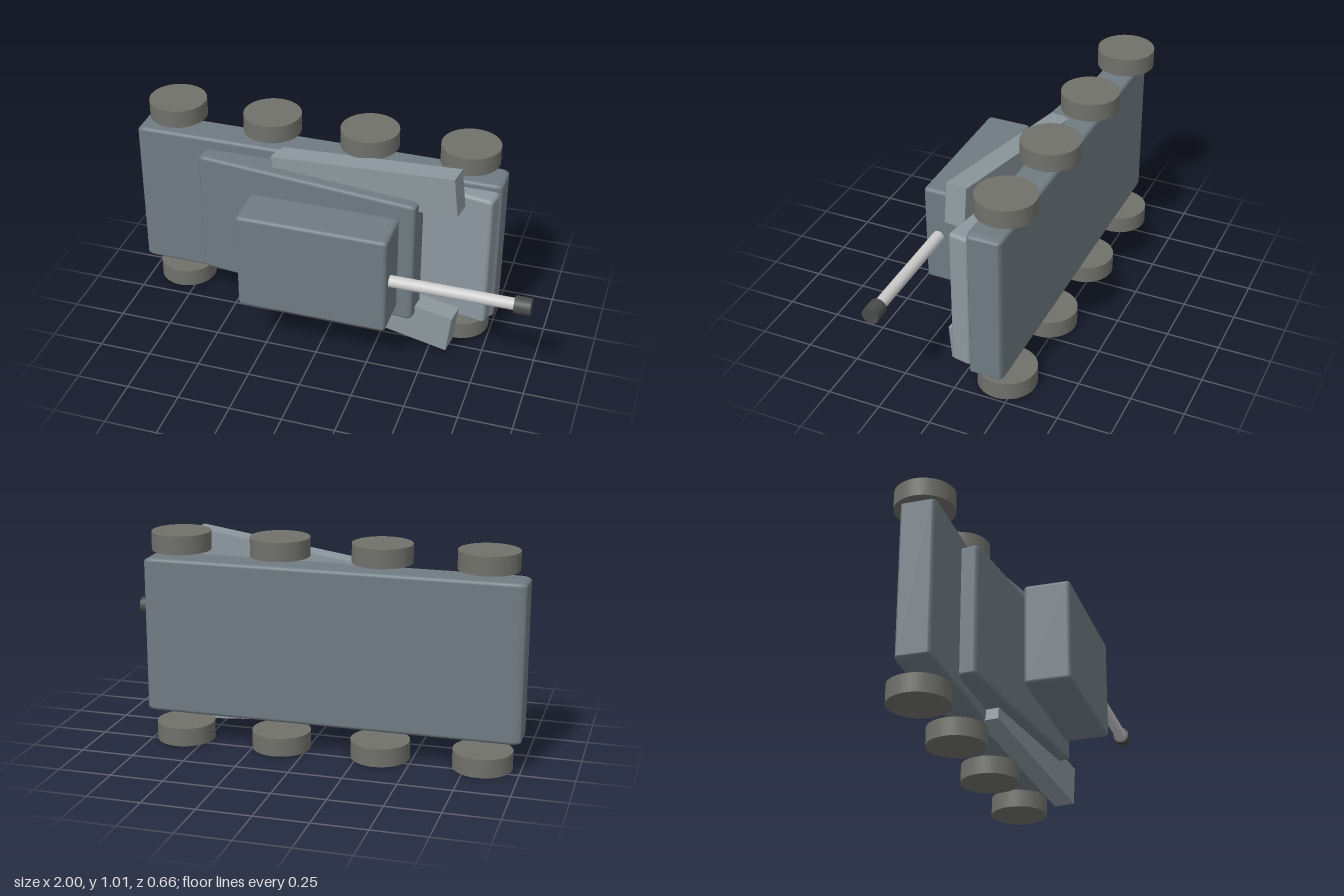
import * as THREE from 'three';
import { RoundedBoxGeometry } from 'three/addons/geometries/RoundedBoxGeometry.js';

const paint = (color) => new THREE.MeshStandardMaterial({ color });
const MID = 0.505; // mid-plane of the vehicle, which lies on its side

export function createModel() {
  const group = new THREE.Group();
  const dark = paint(0x6f7b82);
  const light = paint(0x8c989e);
  const rubber = paint(0x70716b);
  const steel = paint(0xcccccc);
  const black = paint(0x4a4c4c);

  function add(name, geometry, material, x, y, z) {
    const mesh = new THREE.Mesh(geometry, material);
    mesh.name = name;
    mesh.position.set(x, y, z);
    group.add(mesh);
    return mesh;
  }

  // Rounded plate whose bevel is stretched along its length
  function plate(name, material, [l, w, t], [x, z], tilt, stretch) {
    const geo = new RoundedBoxGeometry(l / stretch, w, t, 4, 0.018);
    geo.scale(stretch, 1, 1);
    add(name, geo, material, x, MID, z).rotation.y = -tilt;
  }

  // Hull, nose plate, sloped deck and turret
  plate('hull', dark, [1.775, 0.742, 0.165], [-0.1125, -0.1635], 0, 2.6);
  plate('nosePlate', light, [0.7, 0.68, 0.1], [0.414, -0.1], 0.175, 1.2);
  plate('deck', dark, [1.095, 0.632, 0.13], [-0.1125, -0.007], 0.115, 1.8);
  plate('turret', dark, [0.71, 0.49, 0.217], [0, 0.22], 0, 1.2);

  // Side armour, splayed outwards and upwards to the front
  for (const side of [-1, 1]) {
    const armour = add(side > 0 ? 'leftArmour' : 'rightArmour',
      new THREE.BoxGeometry(0.905, 0.19, 0.1), light, 0.162, MID + side * 0.328, -0.014);
    armour.rotation.set(0, -0.12, side * 0.117);
  }

  // Gun barrel and muzzle
  const barrel = new THREE.CylinderGeometry(0.028, 0.028, 0.66, 32).rotateZ(-Math.PI / 2);
  add('barrel', barrel, steel, 0.62, MID, 0.26);
  const muzzle = new THREE.CylinderGeometry(0.04, 0.04, 0.075, 32).rotateZ(-Math.PI / 2);
  add('muzzle', muzzle, black, 0.9625, MID, 0.26);

  // Four wheels along each side
  const wheel = new THREE.CylinderGeometry(0.137, 0.137, 0.086, 48);
  for (const y of [0.043, 0.963]) {
    for (let i = 0; i < 4; i++) add('wheel', wheel, rubber, -0.825 + i * 0.475, y, -0.194);
  }

  return group;
}
